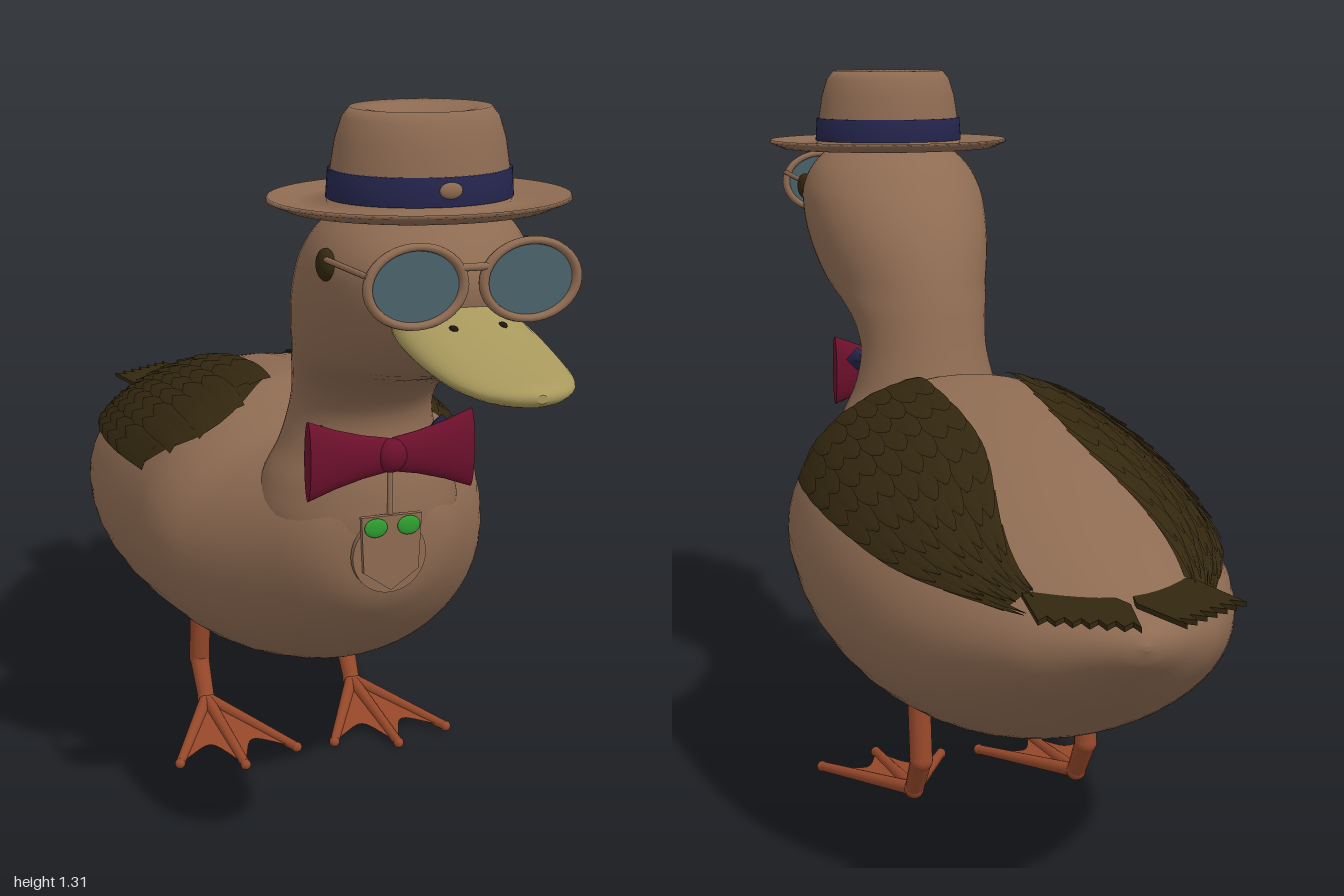
import * as THREE from 'three';
import { mergeGeometries } from 'three/addons/utils/BufferGeometryUtils.js';

const V = (x, y, z) => new THREE.Vector3(x, y, z);
const mat = (name, color, side = THREE.FrontSide) => {
  const m = new THREE.MeshStandardMaterial({ color, side });
  m.name = name;
  return m;
};

// Smooth lookup in a table whose first column is an ascending key
function lookup(table, k) {
  const n = table.length;
  let i = 0;
  while (i < n - 2 && k > table[i + 1][0]) i++;
  const a = table[i], b = table[i + 1], d = b[0] - a[0], t = (k - a[0]) / d;
  const slope = (j, c) => {
    const p = table[Math.max(j - 1, 0)], q = table[Math.min(j + 1, n - 1)];
    return (q[c] - p[c]) / (q[0] - p[0]);
  };
  return a.slice(1).map((_, j) => {
    const c = j + 1, t2 = t * t, t3 = t2 * t;
    return (2 * t3 - 3 * t2 + 1) * a[c] + (t3 - 2 * t2 + t) * d * slope(i, c)
      + (3 * t2 - 2 * t3) * b[c] + (t3 - t2) * d * slope(i + 1, c);
  });
}

// Closed skin through rings of points, capped at both ends and facing outward
function loft(rings) {
  const n = rings[0].length, pts = rings.flat(), idx = [];
  for (let i = 0; i < rings.length - 1; i++) for (let j = 0; j < n; j++) {
    const a = i * n + j, b = i * n + (j + 1) % n;
    idx.push(a, b, a + n, b, b + n, a + n);
  }
  [rings[0], rings[rings.length - 1]].forEach((r, e) => {
    const s = pts.length;
    pts.push(...r);
    for (let j = 1; j < n - 1; j++) idx.push(s, s + j + (e ? 0 : 1), s + j + (e ? 1 : 0));
  });
  let vol = 0;
  for (let i = 0; i < idx.length; i += 3)
    vol += pts[idx[i]].dot(pts[idx[i + 1]].clone().cross(pts[idx[i + 2]]));
  if (vol < 0) idx.reverse();
  const g = new THREE.BufferGeometry().setFromPoints(pts);
  g.setIndex(idx);
  g.computeVertexNormals();
  return g;
}

// Elliptical rings over a table; place(k, row, cos, sin) gives each point
function sweep(table, place, steps = 60, sides = 48) {
  const lo = table[0][0], hi = table[table.length - 1][0], rings = [];
  for (let i = 0; i <= steps; i++) {
    const k = lo + (hi - lo) * (1 - Math.cos(Math.PI * i / steps)) / 2, row = lookup(table, k);
    rings.push(Array.from({ length: sides }, (_, j) => {
      const a = j / sides * Math.PI * 2;
      return place(k, row, Math.cos(a), Math.sin(a));
    }));
  }
  return loft(rings);
}

// Open sheet from a function of u and v
function sheet(fn, nu, nv) {
  const pts = [], idx = [];
  for (let i = 0; i <= nu; i++) for (let j = 0; j <= nv; j++) pts.push(fn(i / nu, j / nv));
  for (let i = 0; i < nu; i++) for (let j = 0; j < nv; j++) {
    const a = i * (nv + 1) + j, b = a + nv + 1;
    idx.push(a, b, a + 1, b, b + 1, a + 1);
  }
  const g = new THREE.BufferGeometry().setFromPoints(pts);
  g.setIndex(idx);
  g.computeVertexNormals();
  return g;
}

// Tapered rod between two points
function rod(a, b, r1, r2 = r1) {
  const d = b.clone().sub(a), g = new THREE.CylinderGeometry(r2, r1, d.length(), 12);
  g.applyQuaternion(new THREE.Quaternion().setFromUnitVectors(V(0, 1, 0), d.normalize()));
  return g.translate(...a.clone().add(b).multiplyScalar(0.5).toArray());
}
const ball = (x, y, z, rx, ry, rz) => new THREE.SphereGeometry(1, 24, 16).scale(rx, ry, rz).translate(x, y, z);

// z, bottom, top, half width
const BODY = [[-0.925, 0.5, 0.508, 0.004], [-0.915, 0.475, 0.525, 0.035], [-0.88, 0.44, 0.54, 0.085],
  [-0.8, 0.375, 0.57, 0.175], [-0.6, 0.255, 0.645, 0.29], [-0.4, 0.208, 0.705, 0.34], [-0.2, 0.2, 0.745, 0.355],
  [0, 0.21, 0.763, 0.338], [0.06, 0.22, 0.735, 0.322], [0.12, 0.235, 0.695, 0.297], [0.2, 0.265, 0.69, 0.255],
  [0.3, 0.335, 0.69, 0.19], [0.36, 0.4, 0.67, 0.14], [0.39, 0.45, 0.64, 0.09], [0.405, 0.52, 0.58, 0.02]];
// y, back, front, half width
const NECK = [[0.48, 0.1, 0.38, 0.12], [0.56, 0.08, 0.405, 0.18], [0.64, 0.095, 0.4, 0.17], [0.7, 0.12, 0.385, 0.142],
  [0.77, 0.145, 0.382, 0.126], [0.82, 0.16, 0.425, 0.13], [0.86, 0.172, 0.505, 0.143], [0.89, 0.183, 0.6, 0.155],
  [0.93, 0.2, 0.655, 0.168], [0.98, 0.227, 0.695, 0.179], [1.03, 0.265, 0.71, 0.184], [1.08, 0.315, 0.702, 0.18],
  [1.13, 0.375, 0.66, 0.152], [1.165, 0.44, 0.61, 0.1], [1.18, 0.51, 0.54, 0.02]];
const BILL = [[0.62, 0.95, 1.045, 0.09], [0.72, 0.94, 1.022, 0.105], [0.85, 0.93, 0.992, 0.1],
  [0.94, 0.93, 0.975, 0.08], [0.985, 0.936, 0.967, 0.045], [1, 0.945, 0.958, 0.008]];
// z, inner and outer angle of the folded wing
const WING = [[-0.82, 0.72, 0.98], [-0.55, 0.37, 1.09], [-0.35, 0.24, 1.13], [0.06, 0.27, 1.2]];

const alongZ = (z, [lo, hi, w], c, s) => V(w * c, (lo + hi) / 2 + (hi - lo) / 2 * s, z);

export function createModel() {
  const brown = mat('plumage brown', 0x8e6b52), dark = mat('dark feather', 0x33270f, THREE.DoubleSide);
  const yellow = mat('bill yellow', 0xa9995d), orange = mat('leg orange', 0x96482a, THREE.DoubleSide);
  const red = mat('bow red', 0x6c102c), navy = mat('band navy', 0x24254c);
  const green = mat('gem green', 0x2f9f30), glass = mat('lens teal', 0x4a626a, THREE.DoubleSide);
  const black = mat('nostril black', 0x1c1610);
  const model = new THREE.Group();
  const add = (name, material, ...geos) => {
    const m = new THREE.Mesh(geos.length > 1 ? mergeGeometries(geos) : geos[0], material);
    m.name = name;
    model.add(m);
    return m;
  };

  add('body', brown, sweep(BODY, alongZ, 80));
  add('neckAndHead', brown, sweep(NECK, (y, [b, f, w], c, s) => V(w * c, y, (b + f) / 2 + (f - b) / 2 * s), 70));
  add('bill', yellow, sweep(BILL, alongZ, 30, 32));

  for (const s of [1, -1]) {
    const side = s > 0 ? 'left' : 'right';

    // Folded wing: a base layer with overlapping feathers on the body's surface
    const onBody = (z, v, off) => {
      const [lo, hi, w] = lookup(BODY, z), [a0, a1] = lookup(WING, z), a = a0 + (a1 - a0) * v;
      return V(s * (w + off) * Math.sin(a), (lo + hi) / 2 + ((hi - lo) / 2 + off) * Math.cos(a), z);
    };
    const frontEdge = v => 0.27 * v - 0.32 * v * v;
    const feathers = [sheet((u, v) => {
      const f = frontEdge(v);
      return onBody(f + (-0.77 - f) * u, v, 0.007);
    }, 24, 10)];
    const lanes = 9, rows = 8;
    for (let r = 0; r < rows; r++) for (let l = 0; l < lanes; l++) {
      const vc = (l + 0.5) / lanes, z0 = frontEdge(vc) - r * 0.09 - (l % 2) * 0.03;
      const z1 = Math.max(z0 - 0.17, -0.81);
      feathers.push(sheet((u, v) => {
        const half = 0.62 / lanes * Math.sqrt(Math.max(1.02 - u ** 4, 0));
        return onBody(z0 + (z1 - z0) * u, vc + (v * 2 - 1) * half, 0.007 + 0.01 * u + 0.002 * (1 - Math.abs(v * 2 - 1)));
      }, 6, 2));
    }
    add(side + 'Wing', dark, ...feathers);

    // Tail fan with a ragged end
    const pts = [[0.005, 0.87], [0.03, 0.76], [0.14, 0.76], [0.15, 0.82], [0.165, 0.91]];
    for (let i = 1; i < 12; i++) {
      const t = i / 12, cut = i % 2 ? 0.025 : 0;
      pts.push([0.165 - 0.13 * t - cut * 0.4, 0.91 + 0.08 * t - cut]);
    }
    pts.push([0.035, 0.99]);
    const fan = new THREE.Shape(pts.map(([x, y]) => new THREE.Vector2(s * x, y)));
    add(side + 'TailFan', dark, new THREE.ExtrudeGeometry(fan, { depth: 0.008, bevelEnabled: false })
      .rotateX(-Math.PI / 2).translate(0, 0.55, 0));

    // Leg and webbed foot
    const x = s * 0.157, knee = V(x, 0.11, -0.258), heel = V(x, 0.038, -0.21);
    add(side + 'Leg', orange, rod(V(x, 0.25, -0.242), knee, 0.021), rod(knee, heel, 0.02, 0.017),
      ball(...knee.toArray(), 0.021, 0.021, 0.021), ball(...heel.toArray(), 0.018, 0.018, 0.018));
    const tips = [-0.118, 0, 0.118].map((d, i) => V(x + d, 0.011, i === 1 ? 0.065 : 0.02));
    add(side + 'Toes', orange, ...tips.map(t => rod(heel, t, 0.013, 0.009)),
      ...tips.map(t => ball(...t.toArray(), 0.01, 0.01, 0.01)));
    add(side + 'Web', orange, ...[0, 1].map(i => sheet((u, v) => {
      const edge = tips[i].clone().lerp(tips[i + 1], v);
      return heel.clone().lerp(edge, u * (1 - 0.28 * Math.sin(Math.PI * v)));
    }, 4, 10)));

    // Face details
    add(side + 'Eye', dark, ball(s * 0.17, 1.075, 0.565, 0.015, 0.026, 0.026));
    add(side + 'Nostril', black, ball(s * 0.04, 1.007, 0.77, 0.006, 0.005, 0.011));

    // Spectacles
    add(side + 'Rim', brown, new THREE.TorusGeometry(0.077, 0.008, 10, 40).scale(1, 0.78, 1).translate(s * 0.093, 1.07, 0.75));
    add(side + 'Lens', glass, new THREE.CircleGeometry(0.074, 40).scale(1, 0.78, 1).translate(s * 0.093, 1.07, 0.75));
    add(side + 'TempleArm', brown, rod(V(s * 0.17, 1.09, 0.752), V(s * 0.175, 1.085, 0.56), 0.005));

    // Bow tie loop and collar point
    const loop = [[0.005, 0.03, 0.014], [0.05, 0.038, 0.019], [0.1, 0.052, 0.021], [0.148, 0.07, 0.018]];
    add(side + 'BowLoop', red, loft(loop.map(([bx, h, d]) => Array.from({ length: 24 }, (_, j) => {
      const a = j / 24 * Math.PI * 2;
      return V(s * bx, 0.71 + h * Math.sin(a), 0.41 + d * Math.cos(a));
    }))));
    add(side + 'CollarPoint', navy, new THREE.ConeGeometry(0.024, 0.04, 4).rotateX(-Math.PI / 2).translate(s * 0.11, 0.738, 0.35));

    add(side + 'Gem', green, ball(s * 0.03, 0.586, 0.424, 0.021, 0.017, 0.005));
  }
  add('bridge', brown, rod(V(-0.025, 1.095, 0.752), V(0.025, 1.095, 0.752), 0.006));
  add('bowKnot', red, ball(0, 0.71, 0.415, 0.028, 0.03, 0.022));

  // Hat with a dented crown, band and pin
  const lathe = pts => new THREE.LatheGeometry(pts.map(p => new THREE.Vector2(...p)), 56)
    .scale(1, 1, 0.86).translate(0, 0, 0.527);
  add('hat', brown, lathe([[0, 1.15], [0.15, 1.15], [0.22, 1.154], [0.248, 1.166], [0.245, 1.172], [0.2, 1.163],
    [0.15, 1.161], [0.147, 1.2], [0.138, 1.26], [0.127, 1.295], [0.114, 1.311], [0.09, 1.308], [0.05, 1.295],
    [0.015, 1.294], [0, 1.288]]));
  add('hatBand', navy, lathe([[0.146, 1.17], [0.152, 1.17], [0.149, 1.215], [0.14, 1.216]]));
  add('hatPin', brown, ball(0, 1.195, 0.656, 0.019, 0.013, 0.006));

  // Pendant: cord, round backing and shield
  add('cord', brown, rod(V(0, 0.69, 0.408), V(0, 0.6, 0.412), 0.005));
  add('pendantDisc', brown, new THREE.CylinderGeometry(0.067, 0.067, 0.012, 40).rotateX(Math.PI / 2).translate(0, 0.53, 0.406));
  const shield = new THREE.Shape([[-0.055, 0.605], [-0.05, 0.505], [0, 0.47], [0.05, 0.505], [0.055, 0.605]]
    .map(p => new THREE.Vector2(...p)));
  add('pendantShield', brown, new THREE.ExtrudeGeometry(shield, { depth: 0.01, bevelEnabled: false }).translate(0, 0, 0.411));

  return model;
}
